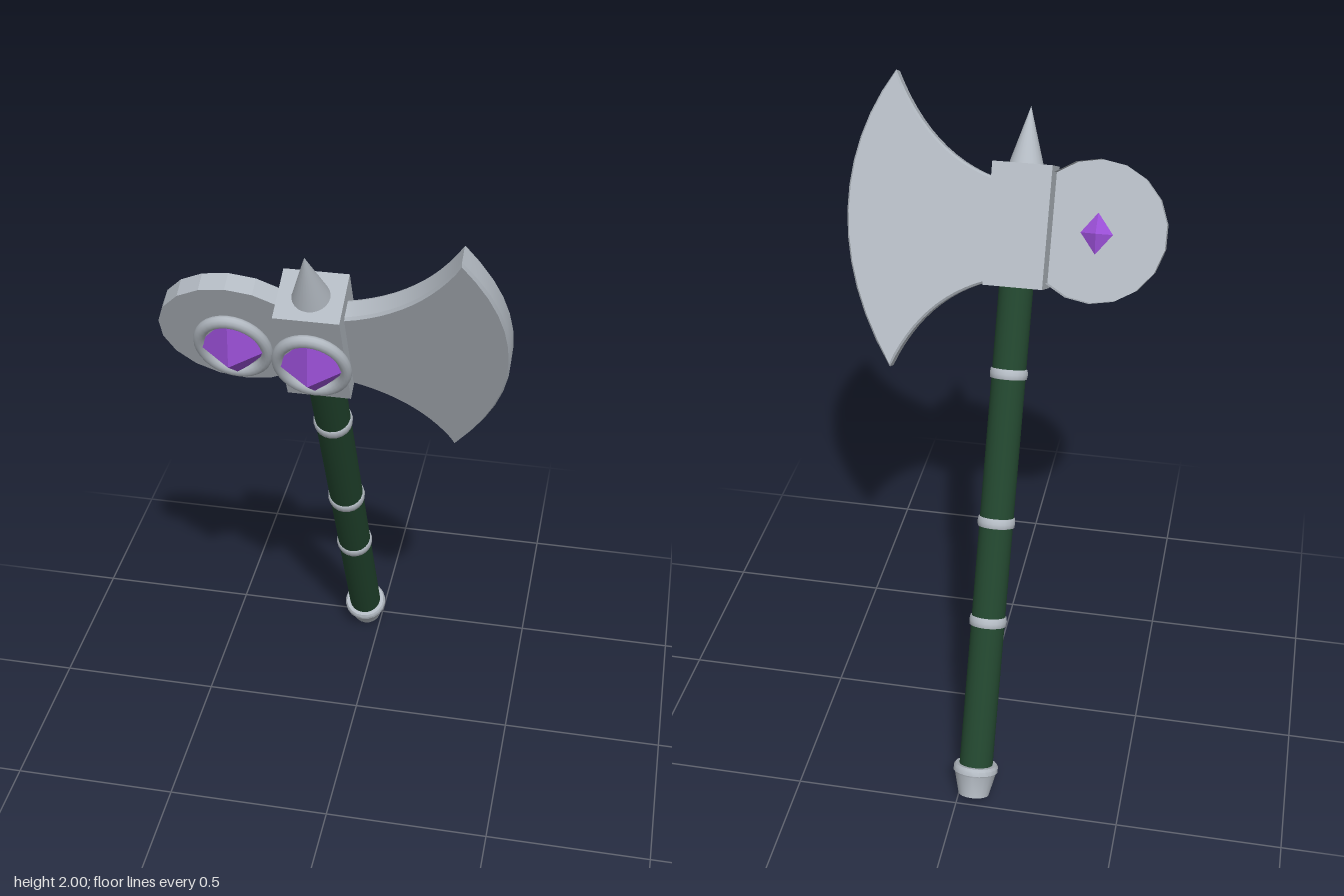
import * as THREE from 'three';
import { toCreasedNormals } from 'three/addons/utils/BufferGeometryUtils.js';

export function createModel() {
  const steel = new THREE.MeshStandardMaterial({ color: 0xb2b9c1, side: THREE.DoubleSide });
  steel.name = 'steel';
  const green = new THREE.MeshStandardMaterial({ color: 0x21442d });
  green.name = 'green grip';
  const purple = new THREE.MeshStandardMaterial({ color: 0x9a4fd6 });
  purple.name = 'purple gem';

  // The axe is built upright with y along the handle, then leaned forward
  const axe = new THREE.Group();
  axe.name = 'axe';
  axe.position.set(-0.05, 0.021, -0.47);
  axe.rotation.x = THREE.MathUtils.degToRad(25.7);

  const add = (name, geometry, material, x = 0, y = 0, z = 0, parent = axe) => {
    const mesh = new THREE.Mesh(geometry, material);
    mesh.name = name;
    mesh.position.set(x, y, z);
    parent.add(mesh);
    return mesh;
  };

  // Handle with three bands
  add('handle', new THREE.CylinderGeometry(0.052, 0.052, 1.52, 20), green, 0, 0.84, 0);
  for (const y of [0.553, 0.861, 1.314]) {
    const profile = [[0.05, -0.016], [0.056, -0.014], [0.058, 0], [0.056, 0.014], [0.05, 0.016]]
      .map(p => new THREE.Vector2(...p));
    add('handleBand', new THREE.LatheGeometry(profile, 20), steel, 0, y, 0);
  }

  // Flared pommel with a rolled upper lip
  const pommel = [[0, 0], [0.047, 0], [0.064, 0.07], [0.069, 0.076], [0.069, 0.09], [0.064, 0.098], [0.05, 0.098]]
    .map(p => new THREE.Vector2(...p));
  add('pommel', toCreasedNormals(new THREE.LatheGeometry(pommel, 20), 0.6), steel);

  // Head block and top spike
  const headY = 1.756;
  add('headBlock', new THREE.BoxGeometry(0.178, 0.362, 0.16), steel, 0, headY, 0);
  add('topSpike', new THREE.ConeGeometry(0.052, 0.17, 24), steel, 0, 2.02, 0);

  // Crescent blade
  const outline = new THREE.Shape();
  outline.moveTo(0.05, 1.888);
  outline.lineTo(0.087, 1.89);
  outline.quadraticCurveTo(0.29, 1.945, 0.407, 2.18);
  outline.bezierCurveTo(0.575, 1.93, 0.57, 1.6, 0.36, 1.302);
  outline.quadraticCurveTo(0.275, 1.515, 0.087, 1.58);
  outline.lineTo(0.05, 1.582);
  outline.closePath();
  const blade = new THREE.ExtrudeGeometry(outline, {
    depth: 0.05, curveSegments: 12, bevelEnabled: true,
    bevelThickness: 0.008, bevelSize: 0.006, bevelOffset: -0.006, bevelSegments: 1,
  });
  add('blade', toCreasedNormals(blade, 0.4), steel, 0, 0, -0.025);

  // Round counterweight: a shallow dish, closed at the front and open at the back
  const discX = -0.223;
  const rim = new THREE.CylinderGeometry(0.212, 0.212, 0.054, 18, 1, true).rotateX(Math.PI / 2);
  add('discRim', toCreasedNormals(rim, 0.2), steel, discX, headY, 0);
  const face = new THREE.CylinderGeometry(0.212, 0.212, 0.002, 18).rotateX(Math.PI / 2);
  add('discFace', toCreasedNormals(face, 0.2), steel, discX, headY, 0.026);

  // Oval gem settings on the block and on the disc
  const addGem = (name, x, z) => {
    const setting = new THREE.Group();
    setting.name = name;
    setting.position.set(x, headY - 0.006, z);
    axe.add(setting);
    const ring = add('gemRing', new THREE.TorusGeometry(0.093, 0.016, 12, 32), steel, 0, 0, 0, setting);
    ring.scale.set(1, 1.26, 1);
    const gem = add('gem', new THREE.OctahedronGeometry(1), purple, 0, 0, 0, setting);
    gem.scale.set(0.1, 0.128, 0.068);
  };
  addGem('blockGem', 0, 0.096);
  addGem('discGem', discX, 0.06);

  const model = new THREE.Group();
  model.name = 'battleAxe';
  model.add(axe);
  return model;
}
